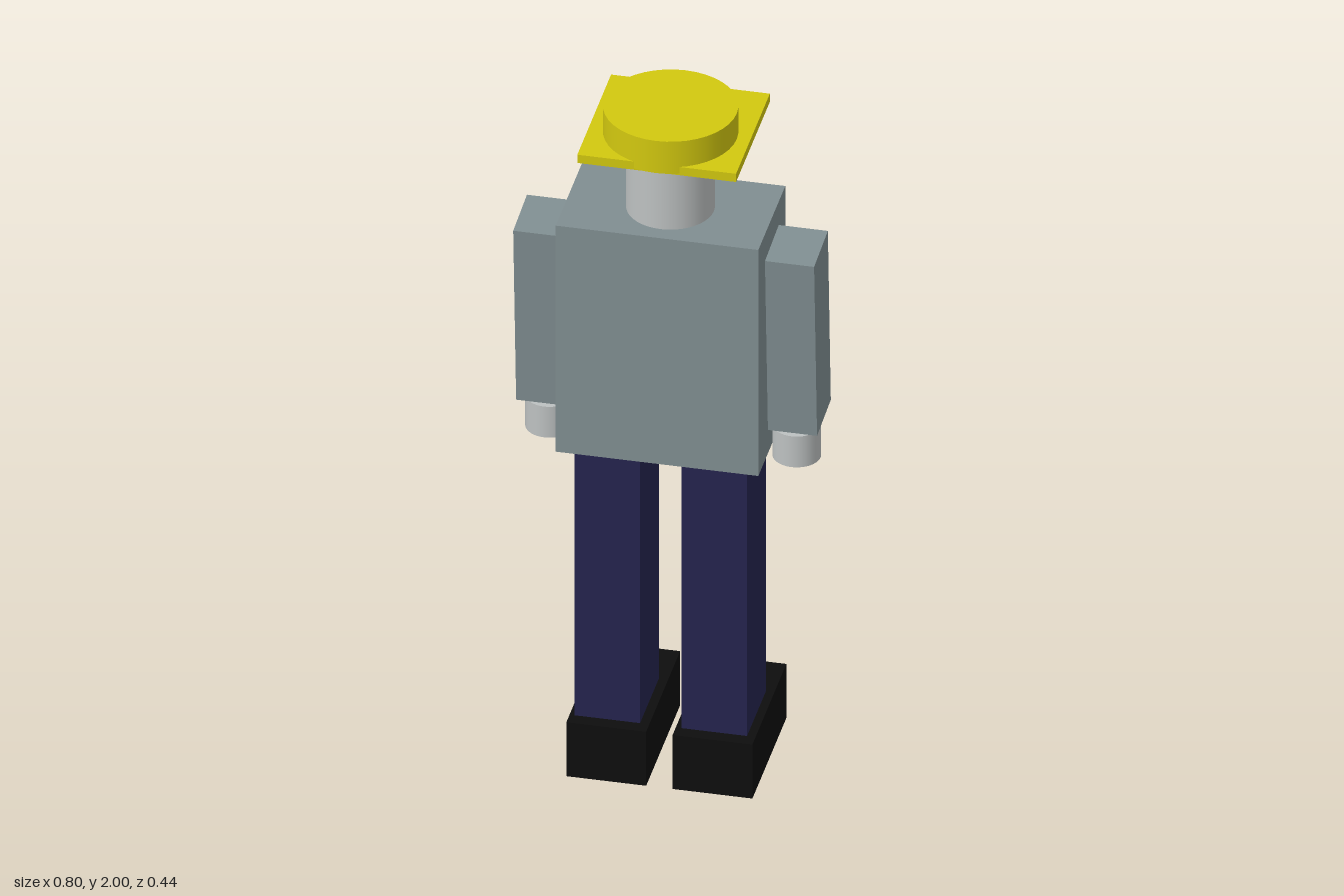
import * as THREE from 'three';

const material = (name, color) => {
  const m = new THREE.MeshStandardMaterial({ color });
  m.name = name;
  return m;
};

export function createModel() {
  const shirt = material('shirtGrey', 0x808e91);
  const skin = material('paleGrey', 0xbdc1c1);
  const trousers = material('trouserNavy', 0x25244e);
  const leather = material('shoeBlack', 0x0e0e0e);
  const yellow = material('hatYellow', 0xd2c80f);

  const model = new THREE.Group();
  model.name = 'figure';

  const add = (name, geometry, mat, x, y, z) => {
    const mesh = new THREE.Mesh(geometry, mat);
    mesh.name = name;
    mesh.position.set(x, y, z);
    model.add(mesh);
    return mesh;
  };
  // Box and upright cylinder given by their extents
  const box = (name, mat, [x0, x1], [y0, y1], [z0, z1]) =>
    add(name, new THREE.BoxGeometry(x1 - x0, y1 - y0, z1 - z0), mat,
      (x0 + x1) / 2, (y0 + y1) / 2, (z0 + z1) / 2);
  const cylinder = (name, mat, radius, [y0, y1], x, z) =>
    add(name, new THREE.CylinderGeometry(radius, radius, y1 - y0, 40), mat, x, (y0 + y1) / 2, z);

  // Body and head
  box('torso', shirt, [-0.268, 0.268], [1.005, 1.695], [-0.112, 0.205]);
  cylinder('head', skin, 0.115, [1.69, 1.91], 0, 0.047);

  // Hat: square brim with a round crown
  box('hatBrim', yellow, [-0.21, 0.21], [1.897, 1.922], [-0.188, 0.209]);
  cylinder('hatCrown', yellow, 0.175, [1.902, 2], 0, 0.045);

  // Limbs, mirrored
  for (const [side, s] of [['left', 1], ['right', -1]]) {
    const span = (a, b) => (s > 0 ? [a, b] : [-b, -a]);
    box(side + 'Leg', trousers, span(0.055, 0.228), [0.178, 1.006], [-0.06, 0.16]);
    box(side + 'Shoe', leather, span(0.035, 0.246), [0, 0.165], [-0.222, 0.177]);
    // Arm leans slightly, its top towards the front
    const arm = add(side + 'Arm', new THREE.BoxGeometry(0.132, 0.538, 0.162), shirt, s * 0.332, 1.35, 0.029);
    arm.rotation.x = 0.064;
    cylinder(side + 'Hand', skin, 0.063, [0.962, 1.056], s * 0.327, 0.015);
  }
  return model;
}
